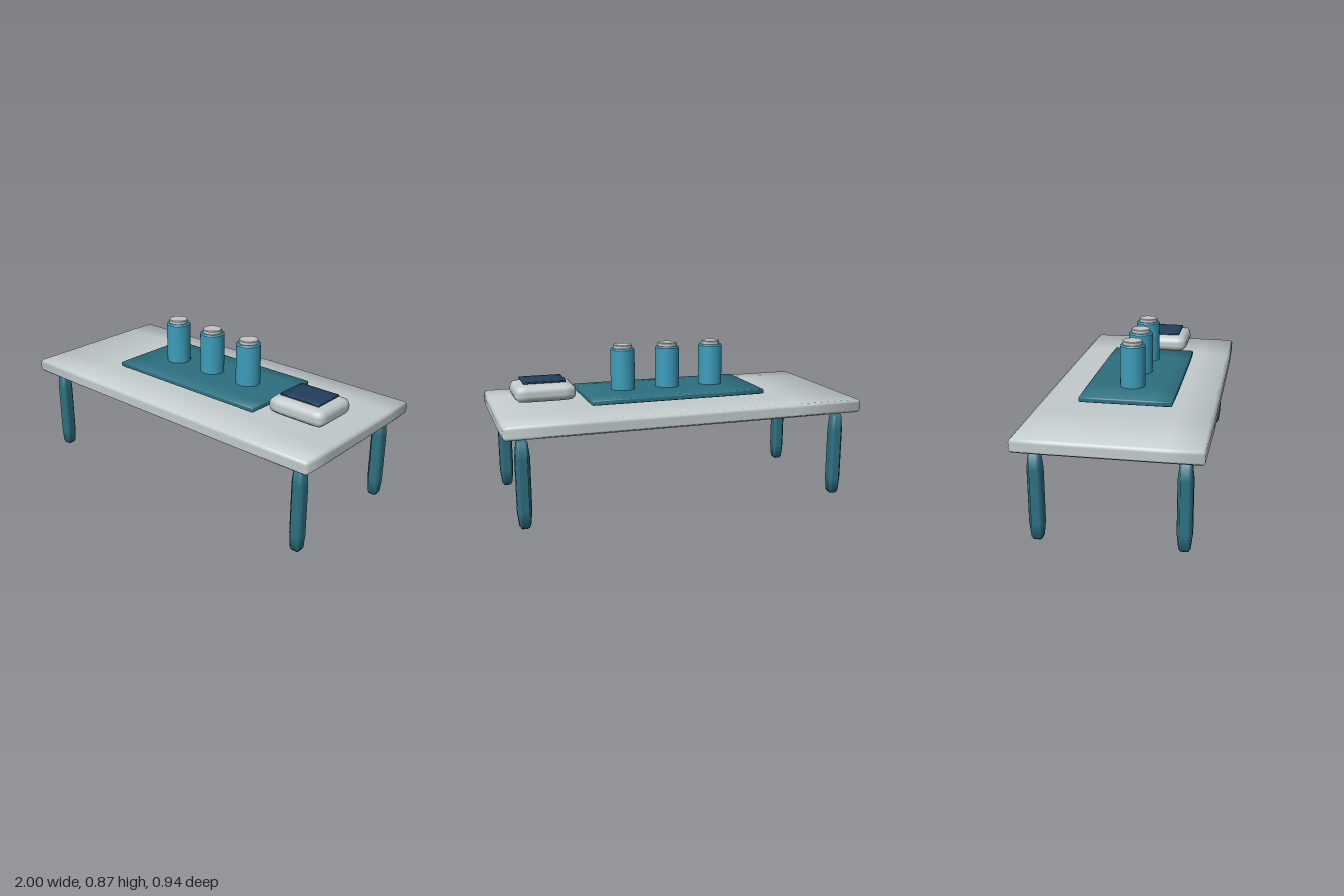
import * as THREE from 'three';

const mat = (name, color) => {
  const m = new THREE.MeshStandardMaterial({ color });
  m.name = name;
  return m;
};

// Softly bevelled box: edge = bevel radius, droop = how far each face sinks
// towards its rim, n = squareness of the vertical corners (2 is round)
function softBox(w, h, d, edge, droop, n) {
  const half = [w / 2, h / 2, d / 2];
  const geo = new THREE.BoxGeometry(1, 1, 1, 7, 7, 7);
  const pos = geo.attributes.position, nor = geo.attributes.normal;
  for (let i = 0; i < pos.count; i++) {
    const p = [], c = [], sign = [], ramp = [];
    half.forEach((H, k) => {
      const g = pos.getComponent(i, k) * 7;            // -3.5 .. 3.5
      const step = Math.round(Math.abs(g) - 0.5);      // 0 = middle, 3 = rim
      const inner = H - edge;
      const t = step === 0 ? Math.min(0.6 * H, inner) : inner + edge * [0, 0.55, 0.8, 1][step];
      sign[k] = Math.sign(g);
      c[k] = Math.max(0, (t - inner) / edge);
      ramp[k] = Math.max(0, (t / H - 0.6) / 0.4);
      p[k] = Math.min(t, inner);
    });
    const plan = Math.pow(c[0] ** n + c[2] ** n, 1 / n);
    const scale = Math.max(...c) / Math.hypot(plan, c[1]);
    const len = Math.hypot(...c);
    half.forEach((H, k) => {
      const sink = droop * Math.max(ramp[(k + 1) % 3], ramp[(k + 2) % 3]) * c[k];
      pos.setComponent(i, k, sign[k] * (p[k] + c[k] * scale * edge - sink));
      nor.setComponent(i, k, sign[k] * c[k] / len);
    });
  }
  return geo;
}

// Turned part with crisp facets between bands
function turned(points) {
  const group = [];
  for (let i = 0; i < points.length - 1; i++) {
    group.push(new THREE.LatheGeometry([points[i], points[i + 1]].map(p => new THREE.Vector2(...p)), 32));
  }
  return group;
}

export function createModel() {
  const model = new THREE.Group();
  const pale = mat('pale grey', 0xc2cbcd);
  const teal = mat('dark teal', 0x2d7080);
  const blue = mat('bright blue', 0x3c9dbb);
  const silver = mat('silver', 0xc2c4c5);
  const navy = mat('navy', 0x223f5c);

  const add = (name, geo, material, x = 0, y = 0, z = 0) => {
    const mesh = new THREE.Mesh(geo, material);
    mesh.name = name;
    mesh.position.set(x, y, z);
    model.add(mesh);
  };

  // Table
  add('tableTop', softBox(2, 0.094, 0.944, 0.028, 0.007, 6), pale, 0, 0.53, 0);
  const leg = softBox(0.075, 0.475, 0.077, 0.022, 0.007, 2);
  for (const x of [-0.893, 0.893]) {
    for (const z of [-0.368, 0.368]) add('leg', leg, teal, x, 0.2375, z);
  }

  // Tray with three canisters
  add('tray', softBox(1, 0.038, 0.5, 0.012, 0.004, 6), teal, 0, 0.603, 0);
  const body = turned([[0, 0.6], [0.068, 0.6], [0.068, 0.845], [0.061, 0.853], [0, 0.853]]);
  const cap = turned([[0.053, 0.85], [0.053, 0.869], [0.049, 0.873], [0, 0.873]]);
  for (const x of [-0.262, 0, 0.262]) {
    body.forEach(g => add('canisterBody', g, blue, x));
    cap.forEach(g => add('canisterCap', g, silver, x));
  }

  // Small device with a dark pad on top
  add('device', softBox(0.34, 0.1, 0.284, 0.042, 0.004, 2.5), pale, 0.709, 0.635, 0.052);
  add('devicePad', softBox(0.236, 0.014, 0.184, 0.004, 0.001, 6), navy, 0.709, 0.692, 0.052);
  return model;
}
